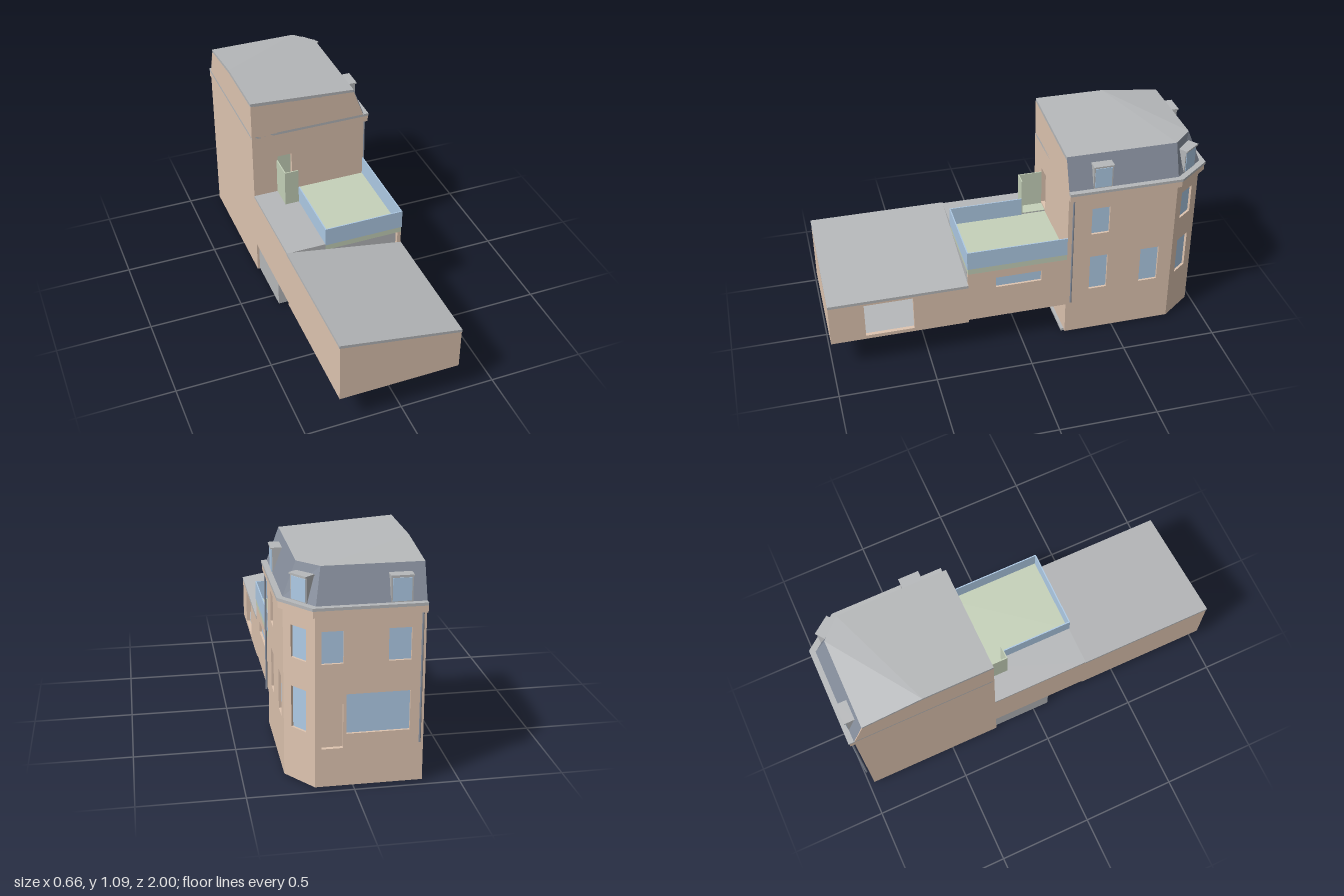
import * as THREE from 'three';

const mat = (name, color, side = THREE.FrontSide) => {
  const m = new THREE.MeshStandardMaterial({ color, side });
  m.name = name;
  return m;
};

export function createModel() {
  const root = new THREE.Group();
  root.name = 'townhouse';
  const render = mat('wall render', 0xdec4b0);
  const grey = mat('roof grey', 0xb6b8ba, THREE.DoubleSide);
  const slate = mat('mansard slate', 0x868e9c, THREE.DoubleSide);
  const glass = mat('glass blue', 0xaecae5, THREE.DoubleSide);
  const green = mat('terrace green', 0xc5d1b9, THREE.DoubleSide);

  const add = (name, geometry, material, parent = root) => {
    const m = new THREE.Mesh(geometry, material);
    m.name = name;
    parent.add(m);
    return m;
  };
  // Box given by its minimum and maximum corners
  const box = (name, x0, x1, y0, y1, z0, z1, material, parent) => {
    const m = add(name, new THREE.BoxGeometry(x1 - x0, y1 - y0, z1 - z0), material, parent);
    m.position.set((x0 + x1) / 2, (y0 + y1) / 2, (z0 + z1) / 2);
    return m;
  };
  const shapeOf = pts => new THREE.Shape(pts.map(p => new THREE.Vector2(p[0], p[1])));
  const extrude = (shape, depth) => new THREE.ExtrudeGeometry(shape, { depth, bevelEnabled: false });
  // Horizontal slab from a plan outline of [x, z] points
  const slab = (name, plan, y0, y1, material) => {
    const g = extrude(shapeOf(plan.map(([x, z]) => [x, -z])), y1 - y0);
    g.rotateX(-Math.PI / 2);
    g.translate(0, y0, 0);
    return add(name, g, material);
  };
  // Flat polygons, each fanned from its first corner
  const faces = (name, polys, material) => {
    const pos = [];
    for (const p of polys)
      for (let i = 1; i < p.length - 1; i++) pos.push(...p[0], ...p[i], ...p[i + 1]);
    const g = new THREE.BufferGeometry();
    g.setAttribute('position', new THREE.Float32BufferAttribute(pos, 3));
    g.computeVertexNormals();
    return add(name, g, material);
  };
  // Wall running left to right as seen from outside; openings are [u0, u1, v0, v1, kind]
  const T = 0.02;
  const wall = (name, a, b, profile, openings = []) => {
    const g = new THREE.Group();
    g.name = name;
    g.position.set(a[0], 0, a[1]);
    g.rotation.y = Math.atan2(a[1] - b[1], b[0] - a[0]);
    root.add(g);
    const shape = shapeOf(profile);
    for (const [u0, u1, v0, v1, kind] of openings) {
      shape.holes.push(new THREE.Path([[u0, v0], [u0, v1], [u1, v1], [u1, v0]].map(p => new THREE.Vector2(...p))));
      if (kind === 'window') box('windowPane', u0, u1, v0, v1, -0.018, -0.012, glass, g);
      if (kind === 'door') box('doorRecess', u0 - 0.02, u1 + 0.02, v0 - 0.02, v1 + 0.02, -0.07, -0.06, render, g);
      if (kind === 'stair') box('stairRecess', u0 - 0.02, u1 + 0.02, v0 - 0.02, v1 + 0.02, -0.09, -0.08, green, g);
    }
    const geo = extrude(shape, T);
    geo.translate(0, 0, -T);
    add(name + 'Panel', geo, render, g);
  };
  const rect = (w, y0, y1) => [[0, y0], [w, y0], [w, y1], [0, y1]];

  // Tower walls
  const L = -0.325, R = 0.3, F = -0.235, B = -0.97;
  const lo = [0.27, 0.475, 'window'], hi = [0.615, 0.77, 'window'];
  wall('towerRightWall', [R, F], [R, -0.81], rect(0.575, 0.01, 0.86),
    [[0.125, 0.22, ...lo], [0.4, 0.5, ...lo], [0.125, 0.22, ...hi]]);
  wall('towerCornerWall', [R, -0.81], [0.18, B], rect(0.2, 0.01, 0.86),
    [[0.05, 0.145, ...lo], [0.05, 0.145, ...hi]]);
  wall('towerBackWall', [0.18, B], [L, B], rect(0.505, 0.01, 0.86),
    [[0.03, 0.13, ...hi], [0.335, 0.44, ...hi], [0.03, 0.13, 0.2, 0.42, 'door'], [0.145, 0.44, 0.27, 0.465, 'window']]);
  wall('towerLeftWall', [L, B], [L, F],
    [[0, 0.01], [0.735, 0.01], [0.735, 1.075], [0.37, 1.075], [0.06, 1.04], [0, 0.88]]);
  wall('towerFrontWall', [L, F], [R, F],
    [[0, 0.01], [0.625, 0.01], [0.625, 0.88], [0.567, 1.04], [0, 1.075]], [[0.135, 0.215, 0.53, 0.74, 'stair']]);
  slab('towerBase', [[-0.305, -0.95], [0.17, -0.95], [0.28, -0.8], [0.28, -0.22], [-0.305, -0.22]], 0, 0.014, grey);

  // Cornice with gutter on top
  const cornice = o => [[L, F], [L, B - o], [0.18 + o / 2, B - o], [R + o, -0.81 - o / 2], [R + o, F]];
  slab('cornice', cornice(0.024), 0.843, 0.876, render);
  slab('gutter', cornice(0.028), 0.876, 0.89, grey);

  // Mansard slopes
  const low = [[L, 0.89, B], [0.175, 0.89, B], [R, 0.89, -0.81], [R, 0.89, F]];
  const top = [[L, 1.055, -0.91], [0.145, 1.055, -0.91], [0.24, 1.055, -0.81], [0.24, 1.055, F]];
  faces('mansard', [0, 1, 2].map(i => [low[i + 1], low[i], top[i], top[i + 1]]), slate);

  // Upper roof, with a thin fascia along the open edges
  const E = [L, 1.092, F], K = [L, 1.092, -0.6];
  const [A, P, C, D] = top;
  faces('upperRoof', [[K, E, D], [K, D, C], [K, C, P], [K, P, A]], grey);
  const down = p => [p[0], p[1] - 0.018, p[2]];
  faces('roofFascia', [[E, D], [K, E], [A, K]].map(([p, q]) => [down(p), down(q), q, p]), grey);

  // Dormers
  for (const [x, z, angle] of [[R, -0.41, Math.PI / 2], [0.24, -0.89, Math.atan2(0.8, -0.6)], [-0.21, B, Math.PI]]) {
    const d = new THREE.Group();
    d.name = 'dormer';
    d.position.set(x, 0, z);
    d.rotation.y = angle;
    root.add(d);
    box('dormerBody', -0.05, 0.05, 0.885, 1.008, -0.05, 0, grey, d);
    box('dormerRoof', -0.053, 0.053, 1.008, 1.016, -0.055, 0.008, grey, d);
    box('dormerPane', -0.043, 0.043, 0.895, 1.002, 0, 0.003, glass, d);
  }

  // Downpipes
  for (const [x, z] of [[0.313, -0.258], [-0.305, -0.984]]) {
    const p = add('downpipe', new THREE.CylinderGeometry(0.005, 0.005, 0.635, 8), slate);
    p.position.set(x, 0.5275, z);
  }

  // Rear wing walls, hollow with an open side bay
  const M = 0.285;
  wall('wingFrontWall', [L, 1], [R, 1], [[0, 0.175], [0.625, 0.175], [0.625, 0.397], [0, 0.506]]);
  wall('wingRightWall', [R, 1], [R, F],
    [[0, 0.175], [0.715, 0.175], [0.715, 0.19], [1.235, 0.19], [1.235, 0.48], [0.715, 0.48], [0.715, 0.397], [0, 0.397]],
    [[0.18, 0.43, 0.195, 0.385, 'open'], [0.86, 1.1, 0.375, 0.435, 'window']]);
  wall('wingLeftWall', [L, F], [L, 1],
    [[0, 0.19], [0.52, 0.19], [0.52, 0.175], [1.235, 0.175], [1.235, 0.504], [0, 0.504]]);
  box('wingFloor', L + T, R - T, 0.18, 0.193, M, 1 - T, grey);
  box('linkFloor', L + T, R - T, 0.19, 0.2, F, M, render);
  const roof = extrude(shapeOf([[L - 0.003, 0.521], [L - 0.003, 0.505], [R + 0.002, 0.396], [R + 0.002, 0.411]]), 1.001 - M);
  roof.translate(0, 0, M);
  add('wingRoof', roof, grey);
  const cross = extrude(shapeOf([[L + 0.005, 0.18], [0.27, 0.18], [0.27, 0.48], [-0.12, 0.48], [-0.12, 0.503], [L + 0.005, 0.503]]), 0.015);
  cross.translate(0, 0, M - 0.015);
  add('wingCrossWall', cross, grey);
  box('linkRoof', L, -0.12, 0.503, 0.517, F, M, grey);

  // Terrace with glass parapet
  box('terraceFloor', -0.12, R, 0.48, 0.512, F, M, green);
  box('terraceLanding', -0.195, -0.12, 0.5, 0.52, F, -0.105, green);
  box('parapetFront', -0.12, R + 0.002, 0.512, 0.612, M - 0.003, M + 0.003, glass);
  box('parapetRight', R - 0.004, R + 0.002, 0.512, 0.612, F, M, glass);
  box('parapetLeft', -0.12, -0.114, 0.512, 0.612, -0.105, M, glass);

  // Screen around the stair landing
  box('landingScreenFront', -0.195, -0.12, 0.518, 0.717, -0.111, -0.105, green);
  box('landingScreenLeft', -0.195, -0.189, 0.518, 0.717, F, -0.105, green);

  // Passage under the link, open below
  box('passageFront', -0.312, -0.197, 0.012, 0.19, 0.079, 0.085, grey);
  box('passageLeft', -0.312, -0.306, 0.012, 0.19, F, 0.085, grey);
  box('passageRight', -0.203, -0.197, 0.012, 0.19, F, 0.085, grey);

  return root;
}
